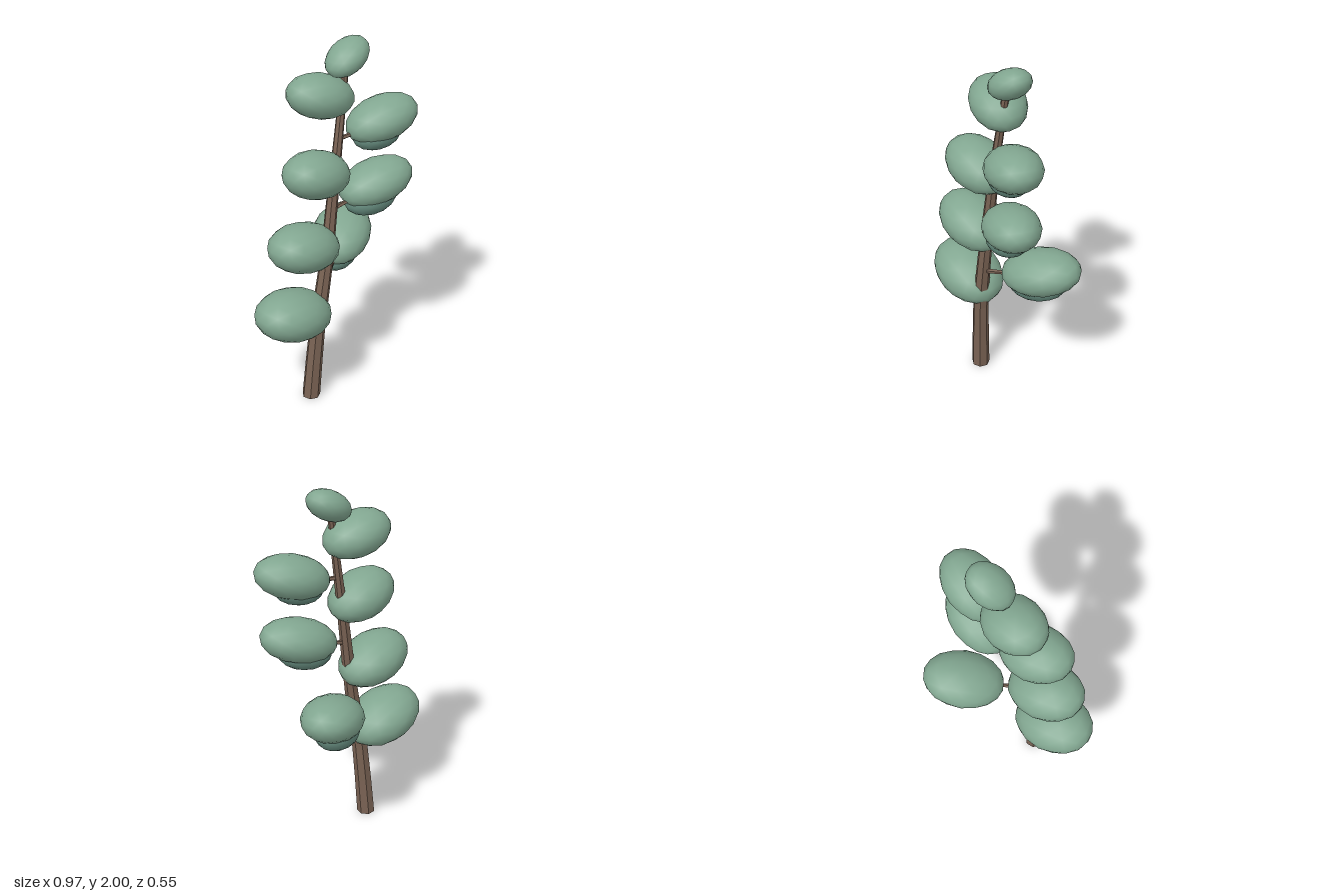
import * as THREE from 'three';

export function createModel() {
  const group = new THREE.Group();
  const bark = new THREE.MeshStandardMaterial({ name: 'bark', color: 0x7a6354, flatShading: true });
  const leaf = new THREE.MeshStandardMaterial({ name: 'leaf', color: 0x82a791 });
  const shade = new THREE.MeshStandardMaterial({ name: 'shadedLeaf', color: 0x64897c });

  // Leaning trunk: a tapered cylinder whose rings follow a curve
  const path = new THREE.CatmullRomCurve3([
    [-0.138, 0, 0.033], [-0.105, 0.45, 0.05], [-0.052, 0.8, 0.06],
    [0.005, 1.2, 0.055], [0.05, 1.5, 0.05], [0.115, 1.88, 0.035],
  ].map((p) => new THREE.Vector3(...p)));
  const trunkGeo = new THREE.CylinderGeometry(0.018, 0.05, 1, 7, 10);
  const pos = trunkGeo.attributes.position;
  for (let i = 0; i < pos.count; i++) {
    const c = path.getPoint(THREE.MathUtils.clamp(pos.getY(i) + 0.5, 0, 1));
    pos.setXYZ(i, pos.getX(i) + c.x, c.y, pos.getZ(i) + c.z);
  }
  trunkGeo.computeVertexNormals();
  const trunk = new THREE.Mesh(trunkGeo, bark);
  trunk.name = 'trunk';
  group.add(trunk);

  // Thin tapered branch between two points
  function addBranch(from, to) {
    const a = new THREE.Vector3(...from);
    const b = new THREE.Vector3(...to);
    const dir = b.clone().sub(a);
    const mesh = new THREE.Mesh(new THREE.CylinderGeometry(0.006, 0.013, dir.length(), 5), bark);
    mesh.position.copy(a).add(b).multiplyScalar(0.5);
    mesh.quaternion.setFromUnitVectors(new THREE.Vector3(0, 1, 0), dir.normalize());
    mesh.name = 'branch';
    group.add(mesh);
  }

  // Ellipsoid leaf clump, yawed about the trunk and tilted along its branch
  const clumpGeo = new THREE.IcosahedronGeometry(1.01, 2);
  function addClump(name, material, centre, radii, yaw, tilt) {
    const mesh = new THREE.Mesh(clumpGeo, material);
    mesh.position.set(...centre);
    mesh.scale.set(...radii);
    mesh.rotation.set(0, yaw, tilt, 'YZX');
    mesh.name = name;
    group.add(mesh);
  }

  // Clumps on the -x side, with their short branches
  const rightSide = [
    [[-0.26, 0.585, 0.026], [0.23, 0.135, 0.175], 0],
    [[-0.19, 0.967, 0.038], [0.215, 0.127, 0.162], 0.05],
    [[-0.112, 1.36, 0.053], [0.199, 0.122, 0.15], 0.05],
    [[-0.02, 1.737, -0.008], [0.182, 0.112, 0.141], -0.25],
  ];
  for (const [c, r, yaw] of rightSide) {
    addClump('leafClump', leaf, c, r, yaw, -0.24);
    const t = path.getPoint(Math.min(c[1] / 1.88, 1));
    addBranch([t.x, c[1] - 0.06, t.z], c);
  }

  // Clumps on the +x side, each with a smaller darker clump beneath
  const leftSide = [
    [[0.24, 0.825, -0.1], [0.222, 0.118, 0.16], 0.5, [0.21, 0.74, -0.1], [0.165, 0.095, 0.115], [-0.03, 0.73, 0.055]],
    [[0.27, 1.207, 0.113], [0.208, 0.113, 0.145], -0.35, [0.235, 1.125, 0.11], [0.145, 0.086, 0.11], [0.005, 1.12, 0.055]],
    [[0.295, 1.56, 0.122], [0.198, 0.11, 0.142], -0.35, [0.262, 1.487, 0.12], [0.132, 0.08, 0.103], [0.05, 1.5, 0.05]],
  ];
  for (const [c, r, yaw, c2, r2, root] of leftSide) {
    addClump('leafClump', leaf, c, r, yaw, 0.25);
    addClump('lowerLeafClump', shade, c2, r2, yaw, 0.15);
    addBranch(root, [c[0], c[1] - 0.03, c[2]]);
  }

  // Crown tuft
  addClump('crownTuft', leaf, [0.131, 1.91, 0.03], [0.13, 0.075, 0.1], 0, 0.5);

  return group;
}
